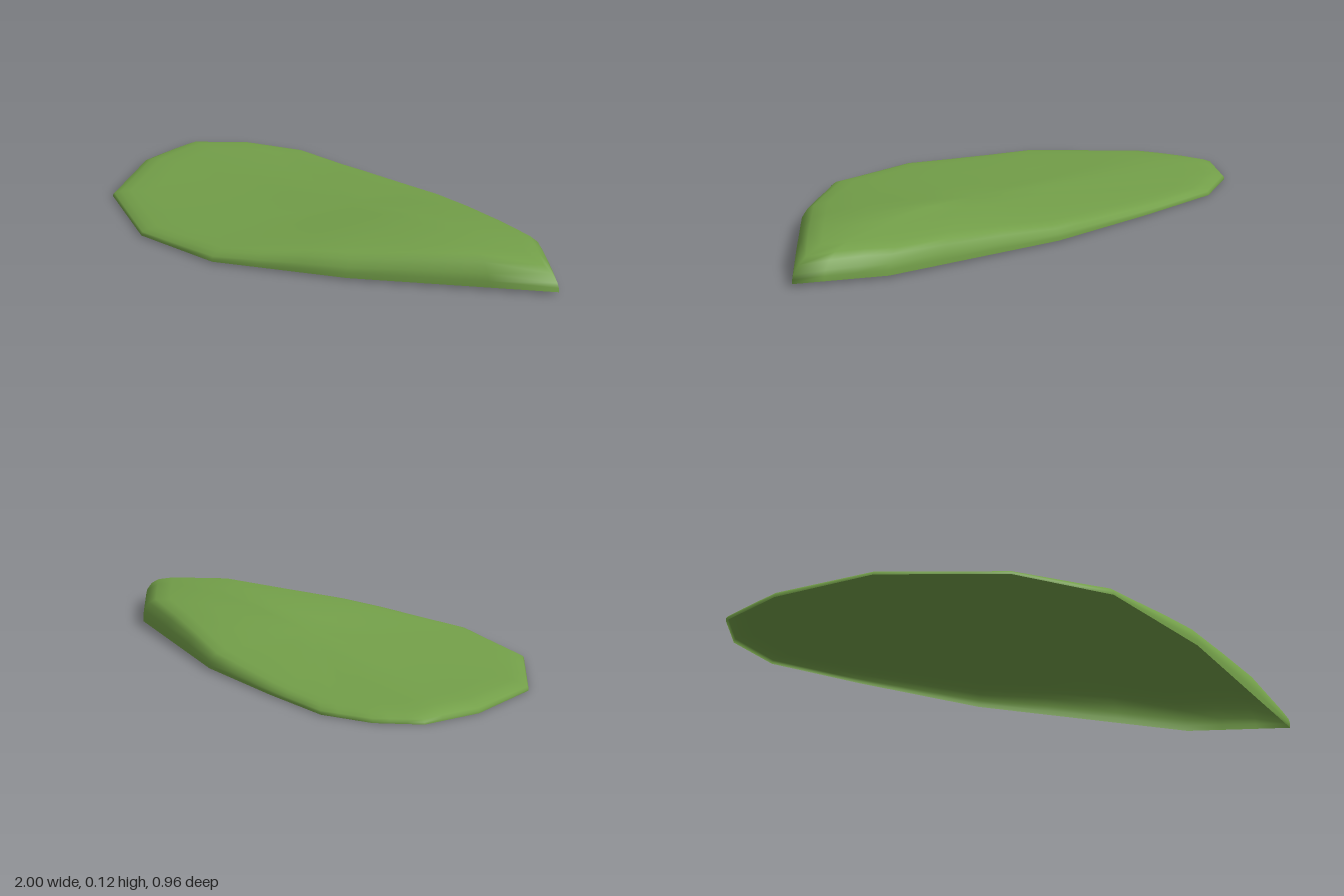
import * as THREE from 'three';

// Ground outline [x, z], running from the right end along the back, tip and front
const outline = [
  [-1, -0.23], [-0.905, -0.37], [-0.725, -0.465], [-0.4, -0.482], [0.02, -0.485], [0.71, -0.37],
  [1, -0.21], [0.46, 0.235], [0.05, 0.472], [-0.32, 0.478], [-0.72, 0.29], [-0.935, 0],
];
// Crest height [x, y] along the length
const crest = [[-1, 0.042], [-0.5, 0.048], [0, 0.084], [0.33, 0.121], [0.72, 0.128], [0.82, 0.121], [0.94, 0.1], [1, 0.085]];
// Rounded cross-section [scale of outline, share of height]
const rings = [[1, 0], [1, 0.2], [0.994, 0.42], [0.966, 0.72], [0.925, 0.88], [0.84, 0.97], [0.6, 1], [0.3, 1]];
const centre = [0.02, -0.12];

function heightAt(x, z) {
  let i = 0;
  while (i < crest.length - 2 && x > crest[i + 1][0]) i++;
  const [x0, y0] = crest[i], [x1, y1] = crest[i + 1];
  const ridge = y0 + (y1 - y0) * (x - x0) / (x1 - x0);
  // fall away to the front and to the back of the ridge
  return ridge * (1 - 0.85 * Math.max(0, z + 0.1) - Math.max(0, -0.14 - z));
}

export function createModel() {
  const group = new THREE.Group();

  // Split each outline edge so the height can follow the crest
  const edge = [];
  const split = 3;
  outline.forEach(([x, z], i) => {
    const [nx, nz] = outline[(i + 1) % outline.length];
    for (let k = 0; k < split; k++) edge.push([x + (nx - x) * k / split, z + (nz - z) * k / split]);
  });
  const n = edge.length;

  // Thin shell, open below: shrinking rings closed by a centre point
  const positions = [], index = [];
  for (const [s, share] of rings) {
    for (const [ex, ez] of edge) {
      const x = centre[0] + (ex - centre[0]) * s;
      const z = centre[1] + (ez - centre[1]) * s;
      const rim = 0.005 * (x + 1); // the rim lifts slightly towards the tip
      positions.push(x, rim + (heightAt(x, z) - rim) * share, z);
    }
  }
  positions.push(centre[0], heightAt(...centre), centre[1]);
  const top = rings.length * n;
  for (let r = 0; r < rings.length; r++) {
    for (let i = 0; i < n; i++) {
      const j = (i + 1) % n, a = r * n + i, b = r * n + j;
      if (r === rings.length - 1) index.push(a, top, b);
      else index.push(a, a + n, b, b, a + n, b + n);
    }
  }
  const geometry = new THREE.BufferGeometry();
  geometry.setAttribute('position', new THREE.Float32BufferAttribute(positions, 3));
  geometry.setIndex(index);
  geometry.computeVertexNormals();
  const mound = new THREE.Mesh(geometry, new THREE.MeshStandardMaterial({ color: 0x739f49, side: THREE.DoubleSide }));
  mound.name = 'grassMound';
  group.add(mound);

  return group;
}
